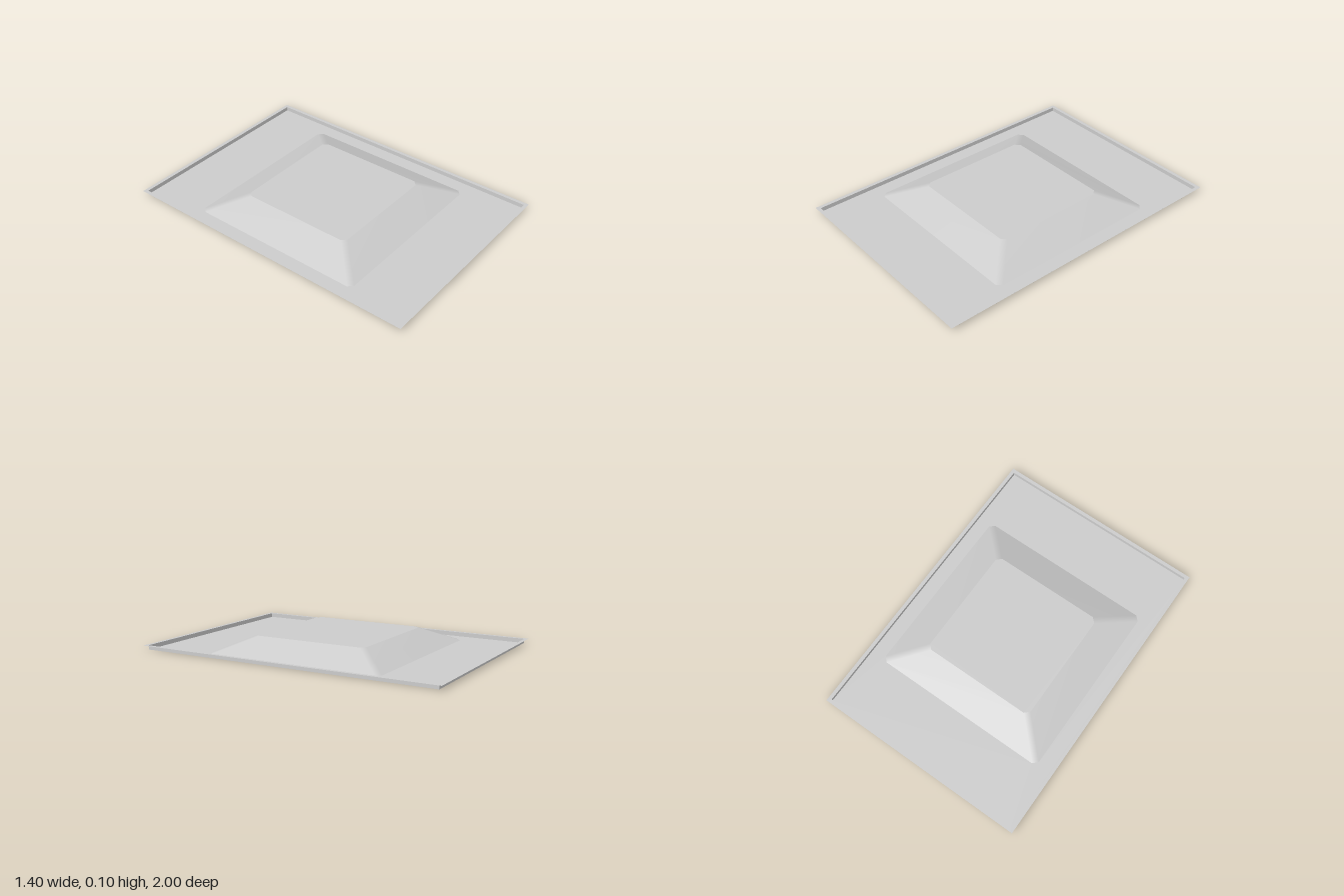
import * as THREE from 'three';

const metal = new THREE.MeshStandardMaterial({ color: 0xcccccc, side: THREE.DoubleSide });

// Corners of a rectangle with cut corners, as [x, z]
function outline(hx, hz, cut) {
  return [
    [hx, hz - cut], [hx - cut, hz], [-hx + cut, hz], [-hx, hz - cut],
    [-hx, -hz + cut], [-hx + cut, -hz], [hx - cut, -hz], [hx, -hz + cut],
  ];
}

// Sheet between two rings [hx, hz, y, cut]; corners blend, upper and lower edges stay sharp
function band(name, low, high) {
  const pos = [], index = [];
  for (const [hx, hz, y, cut] of [low, high]) {
    for (const [x, z] of outline(hx, hz, cut)) pos.push(x, y, z);
  }
  for (let i = 0; i < 8; i++) {
    const j = (i + 1) % 8;
    index.push(i, 8 + i, j, j, 8 + i, 8 + j);
  }
  const geo = new THREE.BufferGeometry();
  geo.setAttribute('position', new THREE.Float32BufferAttribute(pos, 3));
  geo.setIndex(index);
  geo.computeVertexNormals();
  return part(name, geo);
}

// Flat level sheet, optionally with an opening
function sheet(name, y, outer, inner) {
  const points = (o) => outline(...o).map(([x, z]) => new THREE.Vector2(x, -z));
  const shape = new THREE.Shape(points(outer));
  if (inner) shape.holes.push(new THREE.Path(points(inner)));
  const geo = new THREE.ShapeGeometry(shape);
  geo.rotateX(-Math.PI / 2).translate(0, y, 0);
  return part(name, geo);
}

function part(name, geo) {
  const mesh = new THREE.Mesh(geo, metal);
  mesh.name = name;
  return mesh;
}

export function createModel() {
  const model = new THREE.Group();
  model.name = 'ceilingDiffuser';
  const c = 0.03, tiny = 0.001;

  // Panel: narrow raised rim, short wall and recessed floor
  model.add(
    sheet('rim', 0.027, [0.7, 1, tiny], [0.677, 0.977, tiny]),
    band('panelWall', [0.677, 0.977, 0, tiny], [0.677, 0.977, 0.027, tiny]),
    sheet('panelFloor', 0, [0.677, 0.977, tiny], [0.587, 0.587, c]),
  );

  // Hood rising from the floor, closed on top
  model.add(
    band('hoodSlope', [0.587, 0.587, 0, c], [0.38, 0.38, 0.098, c]),
    sheet('hoodTop', 0.098, [0.38, 0.38, c]),
  );

  // Nested louvres under the hood, each a lip and a slope
  for (const h of [0.49, 0.394, 0.285]) {
    const louvre = new THREE.Group();
    louvre.name = 'louvre';
    const top = h - 0.14;
    louvre.add(
      band('louvreLip', [h, h, 0, c], [h, h, 0.013, c]),
      band('louvreSlope', [h, h, 0.013, c], [top, top, 0.08, c]),
    );
    model.add(louvre);
  }

  // Closed centre cone
  model.add(
    band('centreLip', [0.196, 0.196, 0, 0.02], [0.196, 0.196, 0.013, 0.02]),
    band('centreSlope', [0.196, 0.196, 0.013, 0.02], [0.117, 0.117, 0.065, 0.02]),
    sheet('centreTop', 0.065, [0.117, 0.117, 0.02]),
  );
  return model;
}
